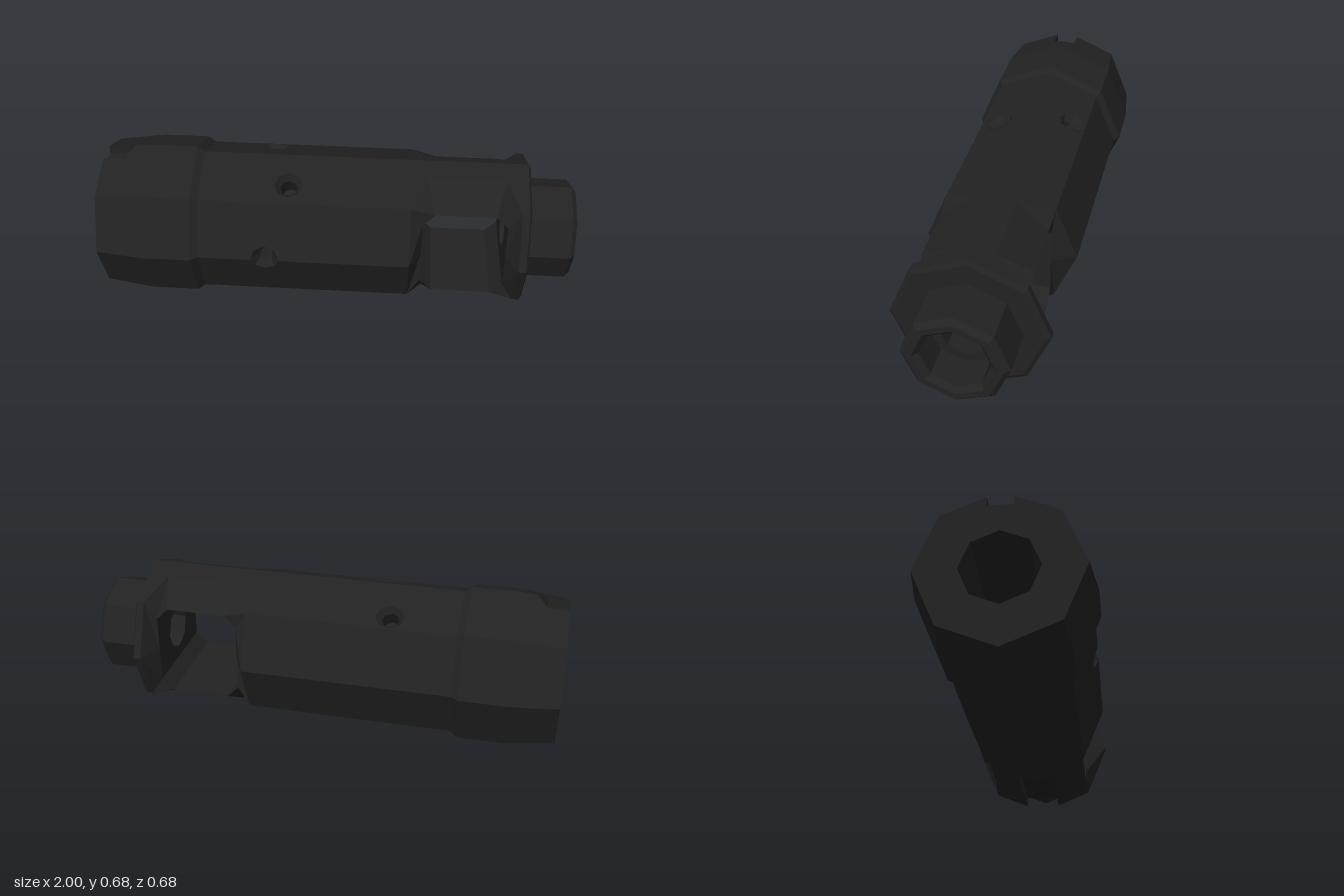
import * as THREE from 'three';
import { mergeGeometries } from 'three/addons/utils/BufferGeometryUtils.js';

const CY = 0.342; // height of the bore axis
const V = (x, y, z) => new THREE.Vector3(x, y, z);
const P = (pts) => pts.map(([x, y]) => new THREE.Vector2(x, y));

// Point on an octagon ring, corner k
const corner = (k, r, x = 0) =>
  V(x, CY + r * Math.sin(k * Math.PI / 4), r * Math.cos(k * Math.PI / 4));

// Flat outline with holes, then moved into place by a rule
function sheet(outline, holes, place) {
  const shape = new THREE.Shape(P(outline));
  holes.forEach((h) => shape.holes.push(new THREE.Path(P(h))));
  const g = new THREE.ShapeGeometry(shape);
  const p = g.attributes.position;
  for (let i = 0; i < p.count; i++) {
    const q = place(p.getX(i), p.getY(i));
    p.setXYZ(i, q.x, q.y, q.z);
  }
  const flat = g.toNonIndexed();
  flat.deleteAttribute('uv');
  flat.computeVertexNormals();
  return flat;
}

function triangles(list) {
  const g = new THREE.BufferGeometry().setFromPoints(list);
  g.computeVertexNormals();
  return g;
}

// Band of quads joining two closed loops
function band(a, b) {
  const out = [];
  a.forEach((p, i) => {
    const j = (i + 1) % a.length;
    out.push(p, a[j], b[j], p, b[j], b[i]);
  });
  return triangles(out);
}

const quad = (a, b, c, d) => triangles([a, b, c, a, c, d]);
const octagon = (r, cy = CY) =>
  Array.from({ length: 8 }, (_, k) => [r * Math.cos(k * Math.PI / 4), cy + r * Math.sin(k * Math.PI / 4)]);

export function createModel() {
  const group = new THREE.Group();
  const black = new THREE.MeshStandardMaterial({ color: 0x222222, flatShading: true, side: THREE.DoubleSide });
  black.name = 'blackened steel';
  const add = (name, geos) => {
    const m = new THREE.Mesh(mergeGeometries(geos), black);
    m.name = name;
    group.add(m);
  };

  // Facet coordinates: x along the body, s from 0 (side end) to 1 (top or bottom end)
  const place = (k, x0, r0, x1, r1) => (x, s) => {
    const r = r0 + (r1 - r0) * (x - x0) / (x1 - x0);
    return corner(k, r, x).lerp(corner(k + 1, r, x), k & 2 ? 1 - s : s);
  };
  const R = 0.32, EDGE = 0.245; // body radius and facet width
  const rim = (x, s, from = 0, count = 8) => Array.from({ length: count }, (_, i) => {
    const t = (from + i) * Math.PI / 4;
    return [x + 0.06 * Math.cos(t), s + 0.06 / EDGE * Math.sin(t)];
  });
  const winS = 0.64, slotS = 0.66, keyS = 0.78;

  // Collar: tapered end, straight part and step, with a key notch on top
  const collar = [];
  const rings = [[-1, 0.315], [-0.8, 0.342], [-0.6, 0.342], [-0.57, R]];
  for (let i = 0; i < 3; i++) for (let k = 0; k < 8; k++) {
    const [x0, r0] = rings[i], [x1, r1] = rings[i + 1];
    const notched = i === 0 && (k === 1 || k === 2);
    const outline = notched
      ? [[x0, 0], [x1, 0], [x1, 1], [-0.87, 1], [-0.91, keyS], [x0, keyS]]
      : [[x0, 0], [x1, 0], [x1, 1], [x0, 1]];
    collar.push(sheet(outline, [], place(k, x0, r0, x1, r1)));
  }
  add('collar', collar);

  // Octagonal body facets, with cut-outs for windows, slot and drilled holes
  const body = [];
  for (let k = 0; k < 8; k++) {
    const at = place(k, -0.57, R, 0.79, R);
    if (k % 4 === 0 || k % 4 === 3) {
      const bump = k === 0 || k === 7 ? rim(-0.29, 0, 0, 5).reverse() : [];
      body.push(sheet([[-0.57, 0], ...bump, [0.31, 0], [0.31, 1], [-0.57, 1]], [], at));
      body.push(sheet([[0.76, 0], [0.79, 0], [0.79, 1], [0.76, 1]], [], at));
    } else {
      const ridge = k > 4 ? [[0.79, slotS], [0.36, slotS], [0.33, 1]] : [[0.79, 1]];
      const hole = k === 1 ? [rim(-0.2, 0.38)] : k === 2 ? [rim(-0.29, 0.26)] : [];
      body.push(sheet([[-0.57, 0], [0.31, 0], [0.37, winS], [0.7, winS], [0.76, 0], [0.79, 0], ...ridge, [-0.57, 1]], hole, at));
    }
    // Chamfer at the flange
    const top = k === 5 || k === 6 ? slotS : 1;
    body.push(sheet([[0.79, 0], [0.8, 0], [0.8, top], [0.79, top]], [], place(k, 0.79, R, 0.8, 0.3)));
  }
  add('body', body);

  // End faces with their notches
  const rear = octagon(0.315), front = octagon(0.3);
  rear.splice(2, 1, [0.05, 0.636], [0.05, 0.6], [-0.05, 0.6], [-0.05, 0.636]);
  front.splice(6, 1, [-0.075, 0.073], [-0.075, 0.1], [0.075, 0.1], [0.075, 0.073]);
  add('rearFace', [sheet(rear, [octagon(0.15)], (z, y) => V(-1, y, z))]);
  add('flangeFace', [sheet(front, [octagon(0.2)], (z, y) => V(0.8, y, z))]);

  // Key notch: floor, side walls and pointed end
  const key = [];
  const tip = V(-0.87, 0.674, 0);
  for (const s of [1, -1]) {
    key.push(quad(V(-1, 0.6, s * 0.05), V(-0.91, 0.6, s * 0.05), V(-0.91, 0.648, s * 0.05), V(-1, 0.636, s * 0.05)));
    key.push(triangles([V(-0.91, 0.6, s * 0.05), V(-0.91, 0.648, s * 0.05), tip]));
  }
  key.push(quad(V(-1, 0.6, 0.05), V(-1, 0.6, -0.05), V(-0.91, 0.6, -0.05), V(-0.91, 0.6, 0.05)));
  key.push(triangles([V(-0.91, 0.6, 0.05), V(-0.91, 0.6, -0.05), tip]));
  add('keyNotch', key);

  // Slot under the flange: floor, walls and ramp
  const w = 0.077, low = 0.054, slot = [];
  slot.push(quad(V(0.4, 0.1, w), V(0.8, 0.1, w), V(0.8, 0.1, -w), V(0.4, 0.1, -w)));
  for (const s of [w, -w]) slot.push(quad(V(0.36, low, s), V(0.79, low, s), V(0.8, 0.1, s), V(0.36, 0.1, s)));
  slot.push(quad(V(0.36, low, w), V(0.36, low, -w), V(0.4, 0.1, -w), V(0.4, 0.1, w)));
  slot.push(triangles([V(0.33, CY - R, 0), V(0.36, low, w), V(0.36, low, -w)]));
  add('bottomSlot', slot);

  // Window opening outline (x, y) and the matching bevel loop on the facets
  const inner = [[0.36, 0.49], [0.41, 0.54], [0.66, 0.54], [0.71, 0.49]];
  const ring2 = [[0.36, CY], ...inner, [0.71, CY], ...inner.map(([x, y]) => [x, 2 * CY - y]).reverse()];
  const zr = 0.226, yr = 0.226;
  const zo = zr * (1 - winS), yo = yr + (R - yr) * winS;
  const outer = [[0.31, yr, zr], [0.37, yo, zo], [0.7, yo, zo], [0.76, yr, zr]];
  const ring3 = [[0.31, 0, R], ...outer, [0.76, 0, R], ...outer.map(([x, y, z]) => [x, -y, z]).reverse()];
  for (const s of [1, -1]) {
    add(s > 0 ? 'frontWindowBevel' : 'backWindowBevel', [
      band(ring3.map(([x, y, z]) => V(x, CY + y, s * z)), ring2.map(([x, y]) => V(x, y, s * 0.22)))]);
  }

  // Window tunnel: corner and top walls, then end walls pierced by the bore
  const tunnel = [];
  for (const m of [(y) => y, (y) => 2 * CY - y]) for (let i = 0; i < 3; i++) {
    const [a, b] = [inner[i], inner[i + 1]];
    tunnel.push(quad(V(a[0], m(a[1]), 0.22), V(b[0], m(b[1]), 0.22), V(b[0], m(b[1]), -0.22), V(a[0], m(a[1]), -0.22)));
  }
  for (const x of [0.36, 0.71]) {
    tunnel.push(sheet([[-0.22, 0.194], [0.22, 0.194], [0.22, 0.49], [-0.22, 0.49]], [octagon(0.1)], (z, y) => V(x, y, z)));
  }
  add('windowTunnel', tunnel);

  // Turned parts: neck with its socket, and the rear bore
  const turned = (name, profile) => {
    const m = new THREE.Mesh(new THREE.LatheGeometry(P(profile.map(([x, r]) => [r, x])), 8), black);
    m.rotation.z = -Math.PI / 2;
    m.position.y = CY;
    m.name = name;
    group.add(m);
  };
  turned('neck', [[0.8, 0.213], [0.98, 0.213], [1, 0.19], [1, 0.162], [0.98, 0.14], [0.85, 0.14], [0.85, 0.1], [0.71, 0.1]]);
  turned('rearBore', [[-1, 0.15], [-0.5, 0.15], [-0.5, 0.1], [0.36, 0.1]]);

  // Countersunk drilled holes
  const at = (k) => place(k, -0.57, R, 0.79, R);
  const ridgeRim = [...rim(-0.29, 0, 0, 5).map((q) => at(0)(...q)),
    ...rim(-0.29, 0, 1, 3).reverse().map((q) => at(7)(...q))];
  const rims = [ridgeRim, rim(-0.2, 0.38).map((q) => at(1)(...q)), rim(-0.29, 0.26).map((q) => at(2)(...q))];
  rims.forEach((loop, n) => {
    const c = loop.reduce((a, p) => a.add(p), V(0, 0, 0)).divideScalar(8);
    const inward = V(0, CY - c.y, -c.z).normalize();
    const sink = (scale, depth) => loop.map((p) => p.clone().sub(c).multiplyScalar(scale).add(c).addScaledVector(inward, depth));
    const mid = sink(0.6, 0.03), deep = sink(0.55, 0.1);
    add('drilledHole' + (n + 1), [band(loop, mid), band(mid, deep), band(deep, sink(0.01, 0.1))]);
  });

  return group;
}
